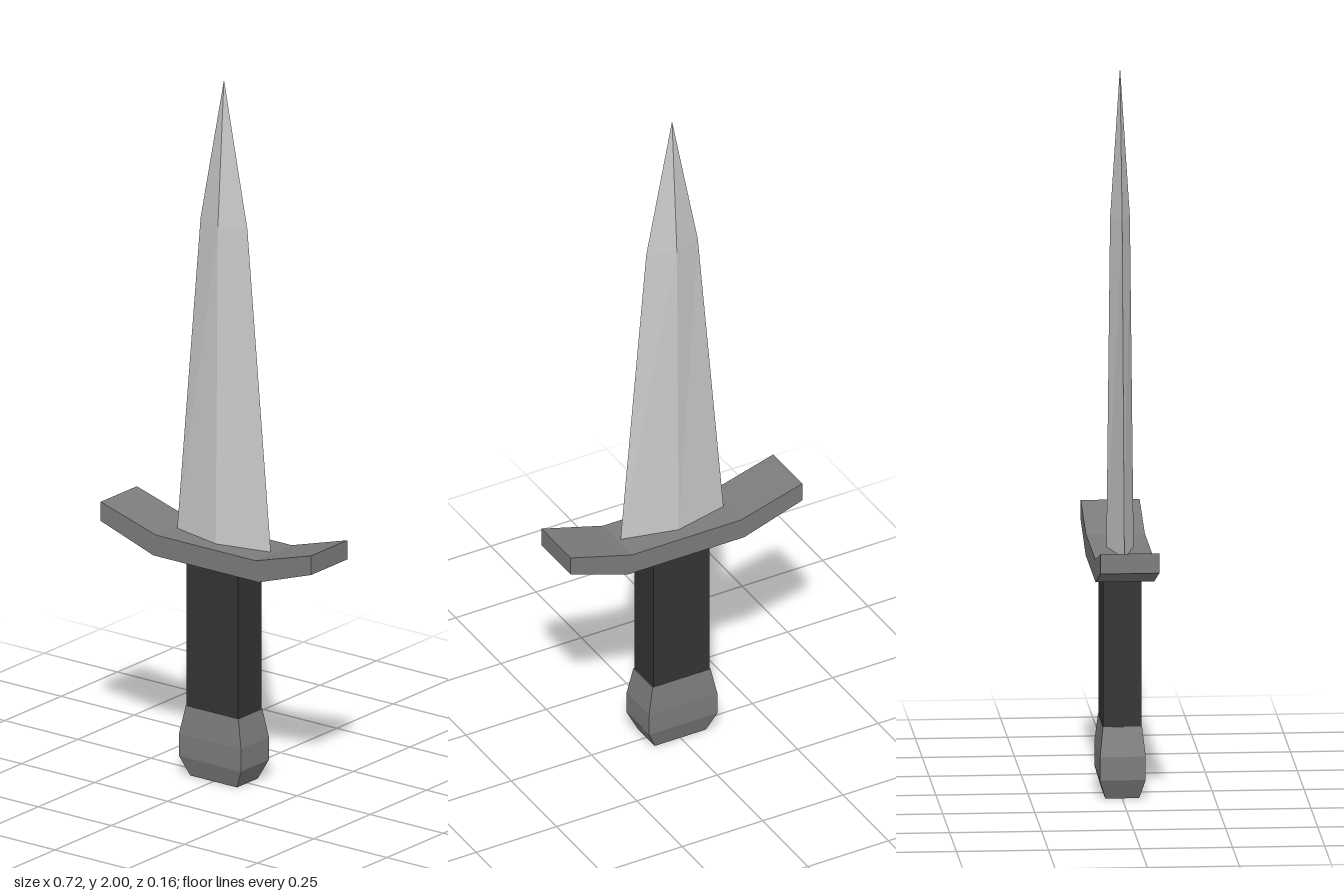
import * as THREE from 'three';

const DIAMOND = [[1, 0], [0, 1], [-1, 0], [0, -1]];
const RECT = [[1, -1], [1, 1], [-1, 1], [-1, -1]];

function part(name, geometry, color) {
  const material = new THREE.MeshStandardMaterial({ color, flatShading: true });
  const mesh = new THREE.Mesh(geometry, material);
  mesh.name = name;
  return mesh;
}

// Stacks scaled copies of a four-cornered section; each level is [y, halfWidth, halfDepth]
function loft(section, levels) {
  const positions = [];
  const indices = [];
  for (const [y, w, d] of levels) {
    for (const [x, z] of section) positions.push(x * w, y, z * d);
  }
  for (let i = 0; i < levels.length - 1; i++) {
    for (let j = 0; j < 4; j++) {
      const a = i * 4 + j;
      const b = i * 4 + (j + 1) % 4;
      indices.push(a, a + 4, b, b, a + 4, b + 4);
    }
  }
  const t = (levels.length - 1) * 4;
  indices.push(0, 1, 2, 0, 2, 3, t, t + 2, t + 1, t, t + 3, t + 2);
  const geometry = new THREE.BufferGeometry();
  geometry.setAttribute('position', new THREE.Float32BufferAttribute(positions, 3));
  geometry.setIndex(indices);
  const flat = geometry.toNonIndexed();
  flat.computeVertexNormals();
  return flat;
}

export function createModel() {
  const dagger = new THREE.Group();
  dagger.name = 'dagger';

  // Diamond-section blade tapering to a point
  dagger.add(part('blade', loft(DIAMOND, [
    [0.68, 0.16, 0.037], [1.59, 0.08, 0.027], [2, 0.0005, 0.0005],
  ]), 0xcccccc));

  // Crossguard with upswept ends
  const half = [[0.18, 0.62], [0.36, 0.68], [0.36, 0.735], [0.17, 0.68]];
  const outline = [...half, ...half.map(([x, y]) => [-x, y]).reverse()];
  const guard = new THREE.ExtrudeGeometry(
    new THREE.Shape(outline.map(([x, y]) => new THREE.Vector2(x, y))),
    { depth: 0.16, bevelEnabled: false });
  guard.translate(0, 0, -0.08);
  dagger.add(part('crossguard', guard, 0x7c7c7c));

  // Rectangular grip
  const grip = new THREE.BoxGeometry(0.175, 0.42, 0.104);
  grip.translate(0, 0.41, 0);
  dagger.add(part('grip', grip, 0x343434));

  // Faceted pommel
  dagger.add(part('pommel', loft(RECT, [
    [0, 0.08, 0.046], [0.055, 0.106, 0.062], [0.12, 0.106, 0.062], [0.2, 0.09, 0.053],
  ]), 0x7c7c7c));

  return dagger;
}
